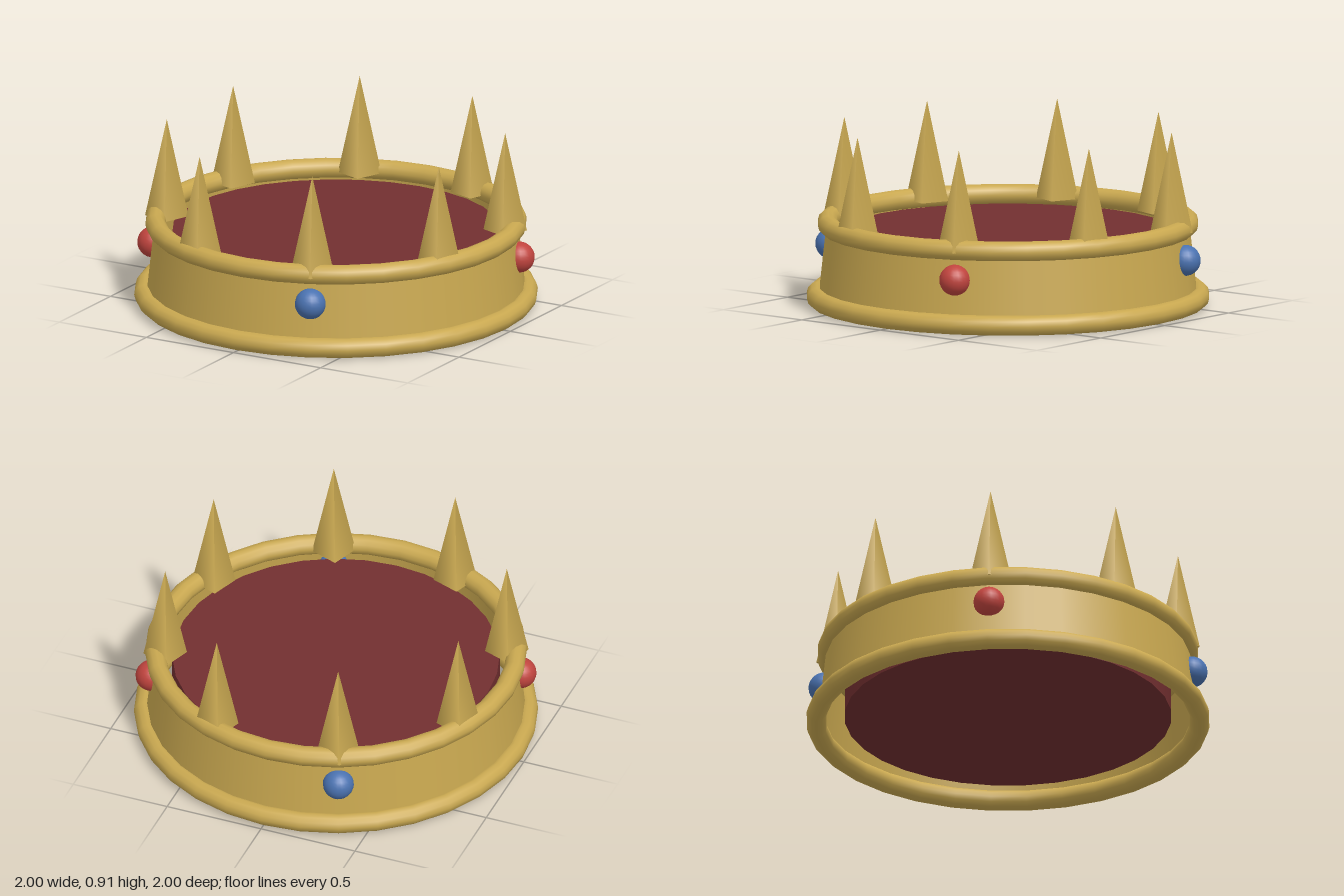
import * as THREE from 'three';

const SEG = 32;

export function createModel() {
  const crown = new THREE.Group();
  crown.name = 'crown';

  const material = (color, side = THREE.FrontSide) => new THREE.MeshStandardMaterial({ color, side });
  const gold = material(0xc9a850);
  const goldSheet = material(0xc9a850, THREE.DoubleSide);
  const velvet = material(0x722f30);
  const ruby = material(0xc0443e);
  const sapphire = material(0x4a72b0);

  const add = (name, geometry, mat, x, y, z) => {
    const mesh = new THREE.Mesh(geometry, mat);
    mesh.name = name;
    mesh.position.set(x, y, z);
    crown.add(mesh);
    return mesh;
  };

  // Slightly tapered open band
  add('band', new THREE.CylinderGeometry(0.9, 0.94, 0.37, SEG, 1, true), goldSheet, 0, 0.235, 0);

  // Rounded rims along the bottom and top of the band
  const addRim = (name, radius, y) =>
    add(name, new THREE.TorusGeometry(radius, 0.05, 12, SEG).rotateX(Math.PI / 2), gold, 0, y, 0);
  addRim('bottomRim', 0.95, 0.055);
  addRim('topRim', 0.895, 0.418);

  // Cloth lining, leaving a narrow gap inside the band
  add('lining', new THREE.CylinderGeometry(0.81, 0.81, 0.31, SEG), velvet, 0, 0.228, 0);

  // Eight four-sided spikes, all turned the same way
  const spikeShape = new THREE.ConeGeometry(0.108, 0.5, 4).rotateY(THREE.MathUtils.degToRad(25));
  for (let i = 0; i < 8; i++) {
    const a = (i + 0.5) * Math.PI / 4;
    add('spike', spikeShape, gold, 0.845 * Math.cos(a), 0.66, 0.845 * Math.sin(a));
  }

  // Four round gems set into the band, alternating in colour
  const gemShape = new THREE.SphereGeometry(0.077, 20, 14);
  for (let i = 0; i < 4; i++) {
    const a = THREE.MathUtils.degToRad(67.5 + 90 * i);
    add(i % 2 ? 'redGem' : 'blueGem', gemShape, i % 2 ? ruby : sapphire,
      0.915 * Math.cos(a), 0.272, 0.915 * Math.sin(a));
  }

  return crown;
}
